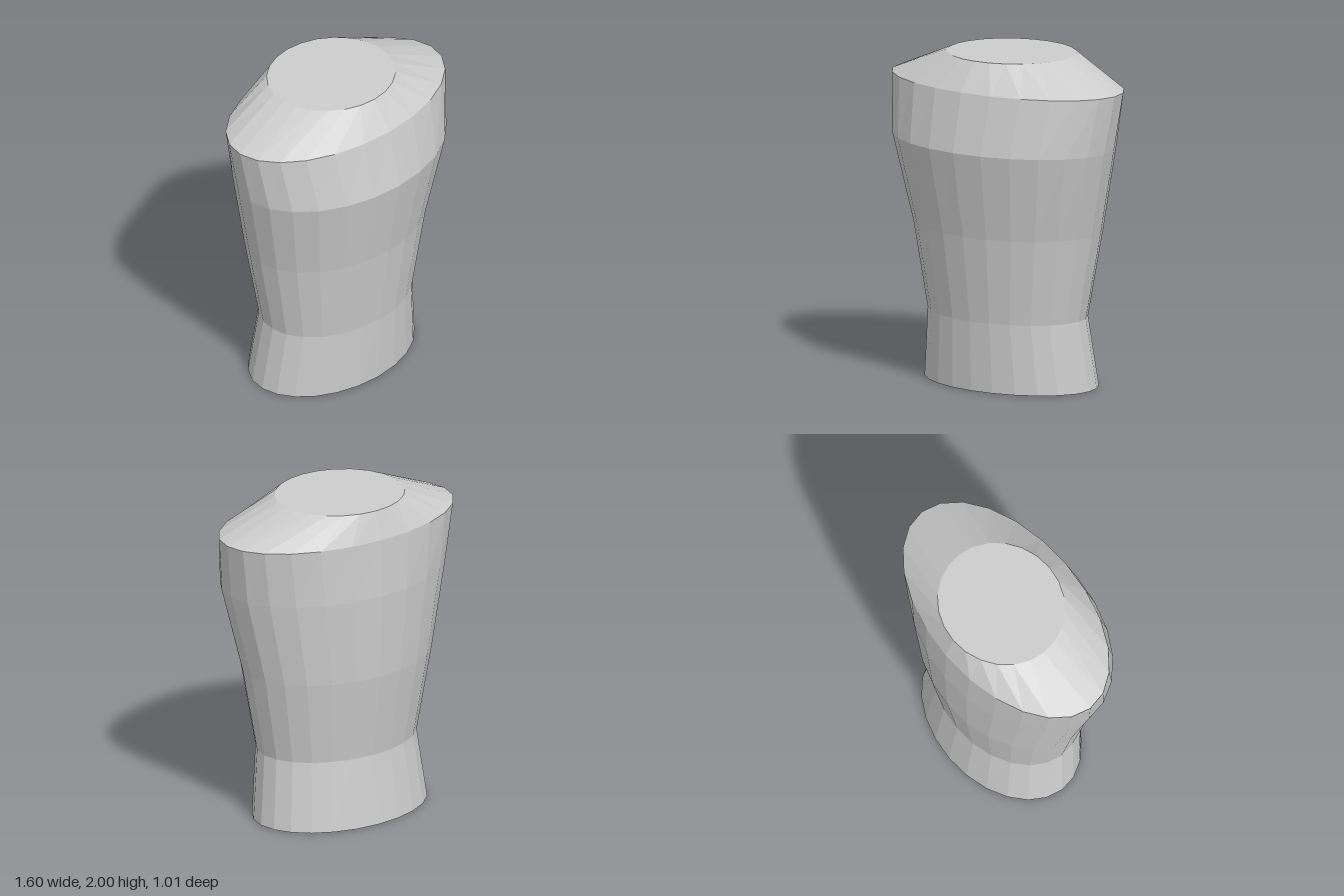
import * as THREE from 'three';

const SIDES = 24;

// Cross-sections from hem to neck: height, half width, front z, back z
const SECTIONS = [
  [0, 0.578, 0.328, -0.471],
  [0.425, 0.527, 0.343, -0.412],
  [0.95, 0.625, 0.408, -0.482],
  [1.475, 0.745, 0.506, -0.506],
  [1.83, 0.8, 0.426, -0.496],
  [2, 0.4, 0.296, -0.44],
];

// Point i on an elliptical cross-section
function ringPoint([y, halfWidth, front, back], i) {
  const a = (i % SIDES) / SIDES * Math.PI * 2;
  return [halfWidth * Math.sin(a), y, (front + back) / 2 + (front - back) / 2 * Math.cos(a)];
}

function makeGeometry(positions) {
  const geometry = new THREE.BufferGeometry();
  geometry.setAttribute('position', new THREE.Float32BufferAttribute(positions, 3));
  geometry.computeVertexNormals(); // unshared corners give flat facets
  return geometry;
}

// Faceted wall between consecutive sections
function loft(sections) {
  const p = [];
  for (let s = 0; s < sections.length - 1; s++) {
    for (let i = 0; i < SIDES; i++) {
      const a = ringPoint(sections[s], i), b = ringPoint(sections[s], i + 1);
      const c = ringPoint(sections[s + 1], i + 1), d = ringPoint(sections[s + 1], i);
      p.push(...a, ...b, ...c, ...a, ...c, ...d);
    }
  }
  return makeGeometry(p);
}

// Flat end cap facing up or down
function cap(section, up) {
  const p = [], centre = [0, section[0], (section[2] + section[3]) / 2];
  for (let i = 0; i < SIDES; i++) {
    const a = ringPoint(section, i), b = ringPoint(section, i + 1);
    p.push(...centre, ...(up ? a : b), ...(up ? b : a));
  }
  return makeGeometry(p);
}

export function createModel() {
  const grey = new THREE.MeshStandardMaterial({ color: 0xcccccc, flatShading: true });
  grey.name = 'light grey';
  const torso = new THREE.Group();
  torso.name = 'torso';
  const add = (name, geometry) => {
    const mesh = new THREE.Mesh(geometry, grey);
    mesh.name = name;
    torso.add(mesh);
  };

  add('hips', loft(SECTIONS.slice(0, 2)));
  add('waistAndChest', loft(SECTIONS.slice(1, 5)));
  add('shoulders', loft(SECTIONS.slice(4)));
  add('neckCap', cap(SECTIONS[5], true));
  add('bottomCap', cap(SECTIONS[0], false));
  return torso;
}
